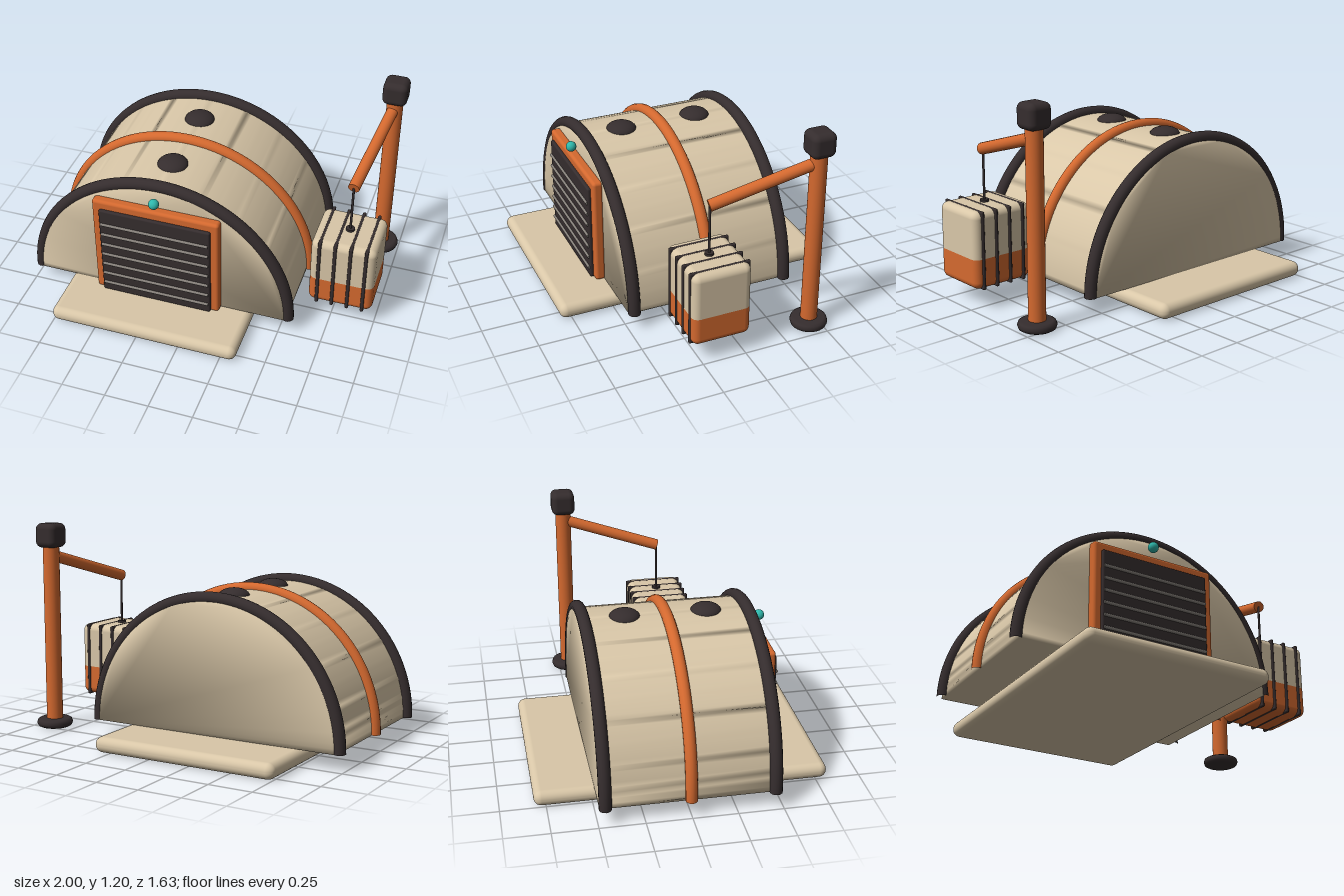
import * as THREE from 'three';
import { mergeVertices } from 'three/addons/utils/BufferGeometryUtils.js';
import { RoundedBoxGeometry } from 'three/addons/geometries/RoundedBoxGeometry.js';

const paint = (name, color) => {
  const m = new THREE.MeshStandardMaterial({ color });
  m.name = name;
  return m;
};

export function createModel() {
  const sand = paint('sand', 0xd9c7a8);
  const orange = paint('orange', 0xd4692f);
  const dark = paint('charcoal', 0x352d2e);
  const grey = paint('grey', 0x86807a);
  const teal = paint('teal', 0x2fb8ac);

  const model = new THREE.Group();
  model.name = 'hangarWithCrane';

  const add = (name, geometry, material, x = 0, y = 0, z = 0, parent = model) => {
    const mesh = new THREE.Mesh(geometry, material);
    mesh.name = name;
    mesh.position.set(x, y, z);
    parent.add(mesh);
    return mesh;
  };
  // Cylinder running between two points
  const rod = (name, a, b, radius, material, parent, sides = 20) => {
    const from = new THREE.Vector3(...a), to = new THREE.Vector3(...b);
    const dir = to.clone().sub(from);
    const mesh = add(name, new THREE.CylinderGeometry(radius, radius, dir.length(), sides), material, 0, 0, 0, parent);
    mesh.position.copy(from).lerp(to, 0.5);
    mesh.quaternion.setFromUnitVectors(new THREE.Vector3(0, 1, 0), dir.normalize());
    return mesh;
  };

  // Ground slab
  const cx = -0.21, floor = 0.09;
  add('baseSlab', new RoundedBoxGeometry(1.1, 0.088, 1.63, 5, 0.042), sand, cx, 0.044, 0);

  // Half-round hall, with normals blended across its edges
  const hangar = new THREE.Group();
  hangar.name = 'hangar';
  model.add(hangar);
  const arch = new THREE.Shape();
  arch.absarc(0, 0, 0.75, 0, Math.PI, false);
  arch.closePath();
  let hall = new THREE.ExtrudeGeometry(arch, { depth: 0.98, bevelEnabled: false, curveSegments: 40 });
  hall.deleteAttribute('normal');
  hall.deleteAttribute('uv');
  hall = mergeVertices(hall);
  hall.computeVertexNormals();
  add('hall', hall, sand, cx, floor, -0.49, hangar);

  // Arched ribs
  for (const [name, z, r, mat] of [['frontRib', 0.46, 0.035, dark], ['middleRib', 0, 0.033, orange], ['backRib', -0.46, 0.035, dark]]) {
    add(name, new THREE.TorusGeometry(0.755, r, 14, 56, Math.PI), mat, cx, floor, z, hangar);
  }

  // Roof vents
  for (const z of [0.23, -0.23]) {
    const vent = add('roofVent', new THREE.SphereGeometry(0.087, 28, 16), dark, cx, 0.832, z, hangar);
    vent.scale.y = 0.5;
  }

  // Roller door
  const door = new THREE.Group();
  door.name = 'rollerDoor';
  hangar.add(door);
  add('doorFrame', new RoundedBoxGeometry(0.74, 0.635, 0.06, 4, 0.018), orange, cx, 0.405, 0.512, door);
  add('doorPanel', new RoundedBoxGeometry(0.65, 0.582, 0.06, 3, 0.01), dark, cx, 0.381, 0.53, door);
  for (let i = 0; i < 7; i++) {
    const y = 0.151 + i * 0.071;
    rod('doorSlat', [cx - 0.315, y, 0.562], [cx + 0.315, y, 0.562], 0.009, grey, door, 10);
  }
  add('doorLamp', new THREE.SphereGeometry(0.03, 20, 14), teal, cx, 0.78, 0.538, hangar);

  // Crane
  const crane = new THREE.Group();
  crane.name = 'crane';
  model.add(crane);
  const px = 0.89, pz = -0.44;
  const footProfile = [[0, 0], [0.085, 0], [0.099, 0.008], [0.105, 0.025], [0.099, 0.042], [0.085, 0.05], [0, 0.05]]
    .map(([x, y]) => new THREE.Vector2(x, y));
  add('craneFoot', new THREE.LatheGeometry(footProfile, 32), dark, px, 0, pz, crane);
  rod('cranePost', [px, 0.03, pz], [px, 1.09, pz], 0.047, orange, crane, 28);
  add('craneHead', new RoundedBoxGeometry(0.14, 0.14, 0.14, 5, 0.035), dark, px, 1.13, pz, crane);
  rod('craneArm', [0.888, 1.015, pz], [0.8, 0.84, 0.138], 0.033, orange, crane);
  rod('craneCable', [0.8, 0.54, 0.133], [0.8, 0.84, 0.133], 0.007, dark, crane, 10);
  rod('cableMount', [0.8, 0.535, 0.133], [0.8, 0.558, 0.133], 0.025, dark, crane);

  // Hanging crate: one rounded box cut into a sand top and an orange bottom
  const crate = new THREE.Group();
  crate.name = 'crate';
  crate.position.set(0.8, 0.328, 0.133);
  model.add(crate);
  const cut = -0.046;
  const crateHalf = (limit) => {
    const geo = new RoundedBoxGeometry(0.37, 0.434, 0.336, 5, 0.04);
    const p = geo.attributes.position;
    for (let i = 0; i < p.count; i++) p.setY(i, limit(p.getY(i), cut));
    return geo;
  };
  add('crateTop', crateHalf(Math.max), sand, 0, 0, 0, crate);
  add('crateBottom', crateHalf(Math.min), orange, 0, 0, 0, crate);
  for (const x of [-0.132, -0.044, 0.044, 0.132]) {
    add('crateStrap', new RoundedBoxGeometry(0.02, 0.438, 0.35, 3, 0.008), dark, x, 0, 0, crate);
  }

  return model;
}
